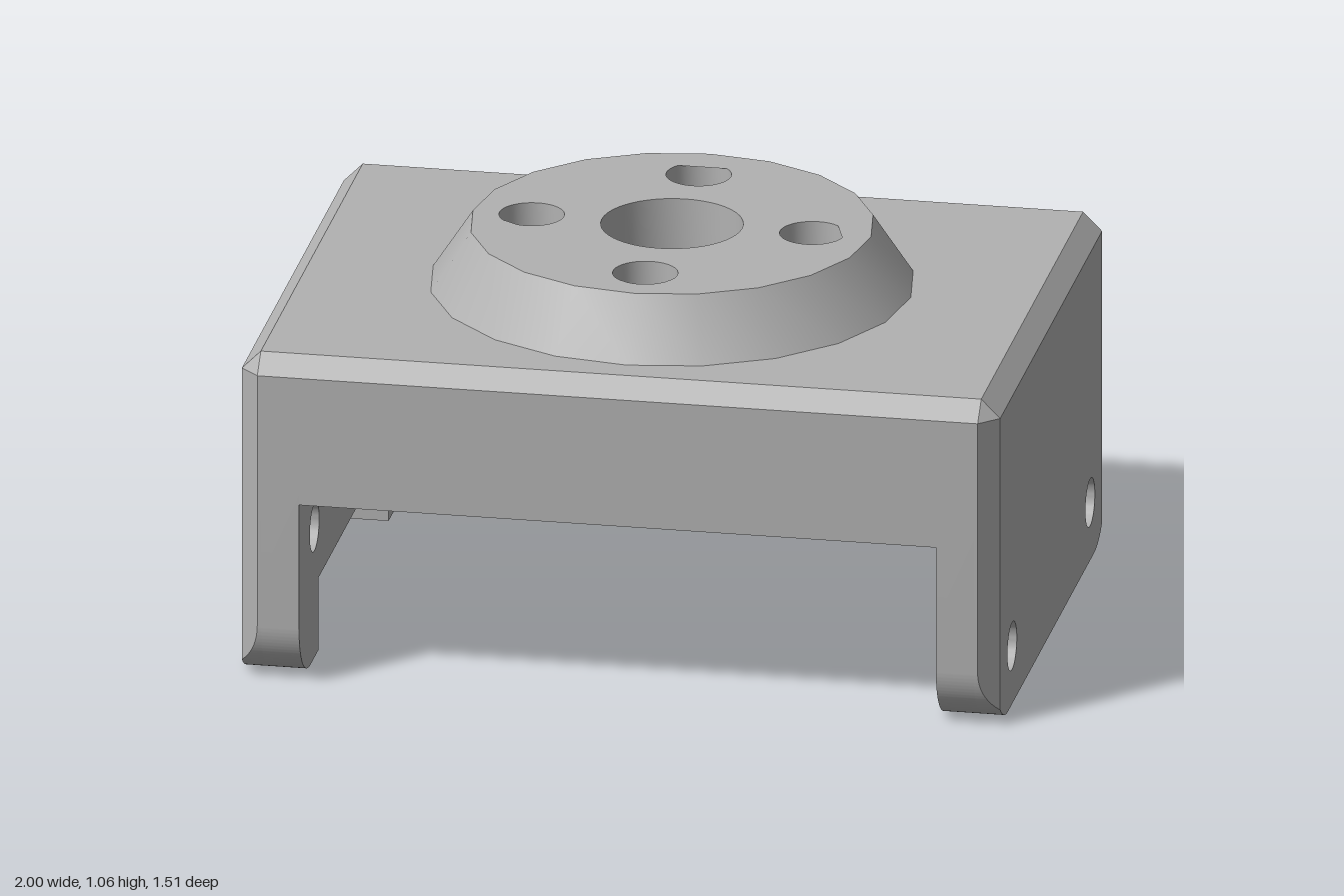
import * as THREE from 'three';
import { toCreasedNormals } from 'three/addons/utils/BufferGeometryUtils.js';

const HALF_Z = 0.755, TOP = 0.9, INNER_X = 0.84, CHAMFER = 0.05, CORNER = 0.16;
const FLAT_Z = HALF_Z - CHAMFER, FLAT_Y = TOP - CHAMFER;

const steel = new THREE.MeshStandardMaterial({ color: 0xb2b2b2 });
steel.name = 'greyMetal';

function addHole(shape, x, y, r) {
  const hole = new THREE.Path();
  hole.absarc(x, y, r, 0, Math.PI * 2, true);
  shape.holes.push(hole);
}

function extrude(shape, depth, steps = 1) {
  return new THREE.ExtrudeGeometry(shape, { depth, steps, bevelEnabled: false, curveSegments: 24 });
}

// Moves vertices by a rule that edits the vector in place
function reshape(geometry, rule) {
  const pos = geometry.attributes.position, p = new THREE.Vector3();
  for (let i = 0; i < pos.count; i++) {
    rule(p.fromBufferAttribute(pos, i));
    pos.setXYZ(i, p.x, p.y, p.z);
  }
  return geometry;
}

// Two-step extrusion whose end edges are cut at 45 degrees beyond the given limits
function chamferedExtrude(shape, depth, limitX, limitY, limitTop) {
  return reshape(extrude(shape, depth, 2), (p) => {
    if (p.z < depth * 0.25) return;
    const over = Math.max(0, Math.abs(p.x) - limitX, -limitY - p.y, p.y - limitTop);
    if (p.z < depth * 0.75) {
      p.z = depth - over;
    } else {
      p.x = THREE.MathUtils.clamp(p.x, -limitX, limitX);
      p.y = THREE.MathUtils.clamp(p.y, -limitY, limitTop);
    }
  });
}

function part(name, geometry) {
  const mesh = new THREE.Mesh(toCreasedNormals(geometry, 0.5), steel);
  mesh.name = name;
  return mesh;
}

// Side outline with rounded feet, chamfered top, two pin holes and an optional notch
function armShape(holeY, notch) {
  const s = new THREE.Shape(), c = HALF_Z - CORNER;
  s.moveTo(-c, 0);
  if (notch) {
    s.lineTo(-notch, 0);
    s.lineTo(-notch, 0.2);
    s.lineTo(notch, 0.2);
    s.lineTo(notch, 0);
  }
  s.lineTo(c, 0);
  s.absarc(c, CORNER, CORNER, -Math.PI / 2, 0, false);
  s.lineTo(HALF_Z, FLAT_Y);
  s.lineTo(FLAT_Z, TOP);
  s.lineTo(-FLAT_Z, TOP);
  s.lineTo(-HALF_Z, FLAT_Y);
  s.lineTo(-HALF_Z, CORNER);
  s.absarc(-c, CORNER, CORNER, Math.PI, Math.PI * 1.5, false);
  for (const side of [-1, 1]) addHole(s, side * 0.54, holeY, 0.065);
  return s;
}

// Arm: notched inner layer plus a chamfered outer skin
function makeArm(name, side, holeY, notch) {
  const arm = new THREE.Group();
  arm.name = name;
  const inner = extrude(armShape(holeY, notch), 0.1).translate(0, 0, INNER_X);
  const outer = chamferedExtrude(armShape(holeY, 0), 0.06, FLAT_Z, 9, FLAT_Y).translate(0, 0, 0.94);
  inner.rotateY(side * Math.PI / 2);
  outer.rotateY(side * Math.PI / 2);
  arm.add(part(name + 'Inner', inner), part(name + 'Outer', outer));
  return arm;
}

// Centre bore and four screw holes
function addBoltPattern(shape, r) {
  addHole(shape, 0, 0, 0.185);
  for (const [x, y] of [[1, 0], [-1, 0], [0, 1], [0, -1]]) addHole(shape, x * 0.37, y * 0.37, r);
  return shape;
}

function deckShape(r) {
  const s = new THREE.Shape();
  s.moveTo(-INNER_X, -HALF_Z);
  s.lineTo(INNER_X, -HALF_Z);
  s.lineTo(INNER_X, HALF_Z);
  s.lineTo(-INNER_X, HALF_Z);
  s.closePath();
  return addBoltPattern(s, r);
}

export function createModel() {
  const model = new THREE.Group();
  model.name = 'mountingBracket';
  const lift = (geometry, y) => geometry.rotateX(-Math.PI / 2).translate(0, y, 0);

  // Bridge between the arms, with wider screw recesses underneath
  model.add(part('bridgeLower', lift(extrude(deckShape(0.17), 0.3), 0.5)));
  model.add(part('bridgeUpper', lift(chamferedExtrude(deckShape(0.085), 0.1, 9, FLAT_Z, FLAT_Z), 0.8)));

  // Tapered round boss
  const rim = [];
  for (let i = 0; i < 20; i++) {
    const a = (i / 20) * Math.PI * 2;
    rim.push(new THREE.Vector2(Math.cos(a) * 0.63, Math.sin(a) * 0.63));
  }
  const boss = reshape(extrude(addBoltPattern(new THREE.Shape(rim), 0.085), 0.16), (p) => {
    if (p.z > 0.1 && Math.hypot(p.x, p.y) > 0.6) {
      p.x *= 0.525 / 0.63;
      p.y *= 0.525 / 0.63;
    }
  });
  model.add(part('boss', lift(boss, TOP)));

  // Side arms: pin holes and notches differ
  model.add(makeArm('leftArm', 1, 0.16, 0.36));
  model.add(makeArm('rightArm', -1, 0.36, 0.485));
  return model;
}
